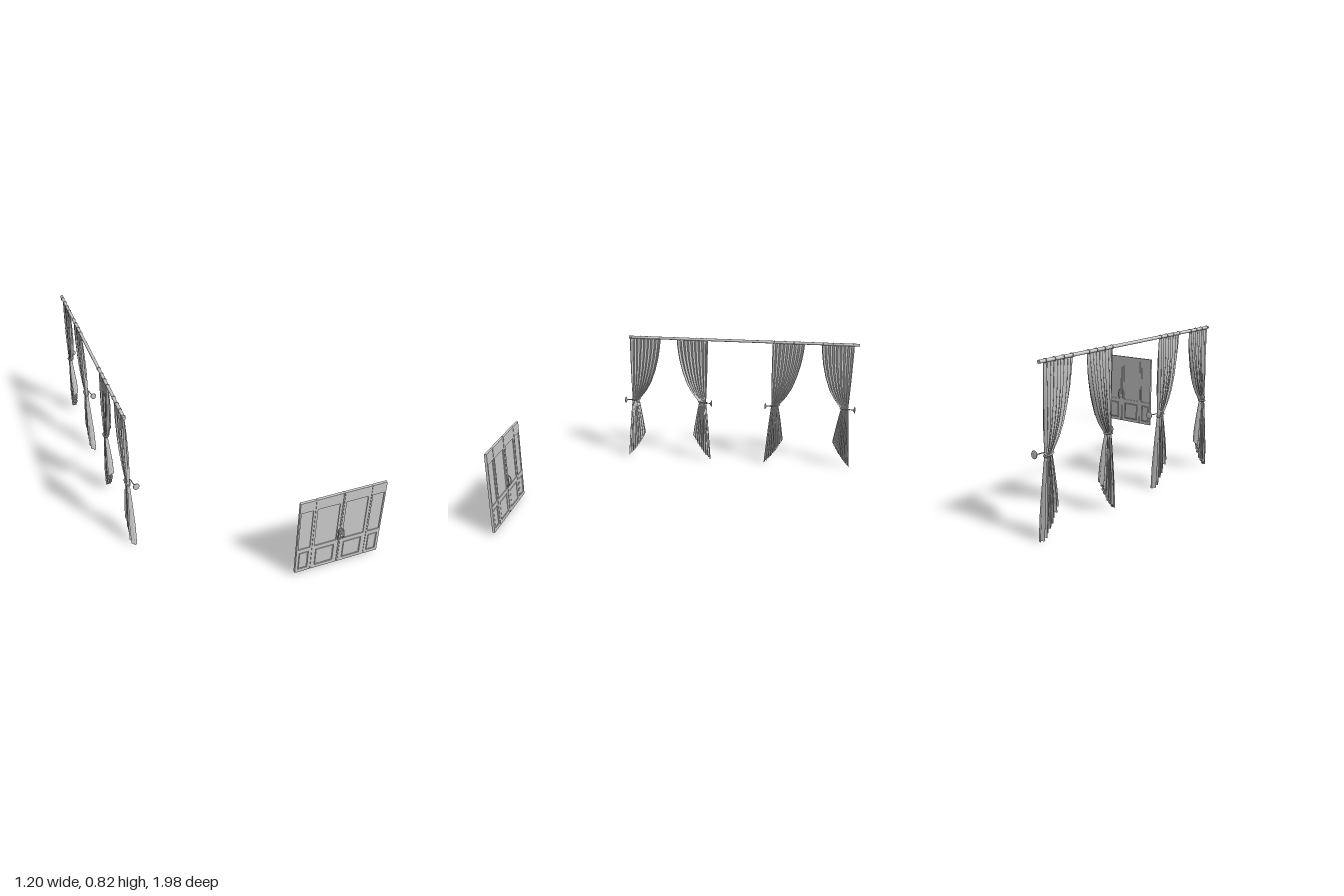
import * as THREE from 'three';

const grey = new THREE.MeshStandardMaterial({ color: 0xcccccc });
const cloth = new THREE.MeshStandardMaterial({ color: 0xcccccc, side: THREE.DoubleSide });
const ROD_X = -0.585, ROD_Y = 0.812, TIE_Y = 0.395;
const lerp = THREE.MathUtils.lerp;

function add(parent, name, geometry, x = 0, y = 0, z = 0, material = grey) {
  const mesh = new THREE.Mesh(geometry, material);
  mesh.name = name;
  mesh.position.set(x, y, z);
  parent.add(mesh);
  return mesh;
}

// Smooth interpolation through [position, value] pairs
function keyed(keys, t) {
  let i = 0;
  while (i < keys.length - 2 && t > keys[i + 1][0]) i++;
  const [a, va] = keys[i], [b, vb] = keys[i + 1];
  return lerp(va, vb, THREE.MathUtils.clamp((t - a) / (b - a), 0, 1));
}

function tube(points, radius, segments = 20) {
  const curve = new THREE.CatmullRomCurve3(points.map(p => new THREE.Vector3(...p)));
  return new THREE.TubeGeometry(curve, segments, radius, 8);
}

// Pleated sheet gathered at the tie; u runs from outer to inner edge, v from top to hem
const innerEdge = [[0, 0.198], [0.12, 0.194], [0.3, 0.183], [0.5, 0.163], [0.7, 0.134], [0.85, 0.1], [0.95, 0.068], [1, 0.052]];
const foldDepth = [[0, 0.003], [0.25, 0.008], [0.6, 0.011], [0.85, 0.009], [1, 0.006], [1.25, 0.01], [1.7, 0.016], [2, 0.015]];
function drape(dir) {
  const cols = 108, rows = 48;
  const geometry = new THREE.PlaneGeometry(1, 1, cols, rows);
  const pos = geometry.attributes.position;
  for (let i = 0; i < pos.count; i++) {
    const u = pos.getX(i) + 0.5, v = (0.5 - pos.getY(i)) * 2;
    const phase = u * Math.PI * 2 * 8.5;
    const tieS = 0.008 + 0.044 * u;
    let s, y;
    if (v <= 1) {
      s = lerp(0.008 * v * v, keyed(innerEdge, v), u);
      y = lerp(ROD_Y - 0.006, TIE_Y, v);
    } else {
      const t = v - 1;
      s = lerp(tieS, -0.026 + 0.117 * u, Math.pow(t, 0.85));
      y = lerp(TIE_Y, 0.165 * Math.pow(u, 1.3) + 0.006 * Math.sin(phase) * u, t);
    }
    const depth = keyed(foldDepth, v);
    const x = depth * (Math.sin(phase) + 0.25 * Math.sin(phase * 0.37 + 1)) * 0.9;
    const sway = 0.25 * depth * Math.sin(phase * 2) * Math.sin(Math.PI * u);
    pos.setXYZ(i, x, Math.max(y, 0), -dir * (s + sway));
  }
  geometry.computeVertexNormals();
  return geometry;
}

// One curtain with its rings, tie band and wall holdback
function curtain(z0, dir) {
  const group = new THREE.Group();
  group.name = 'curtain';
  group.position.set(ROD_X, 0, z0);
  add(group, 'drape', drape(dir), 0, 0, 0, cloth);

  for (let i = 0; i < 4; i++)
    add(group, 'curtainRing', new THREE.TorusGeometry(0.0095, 0.0018, 8, 20), 0, ROD_Y, -dir * (0.01 + i * 0.06));

  // Band round the gathered cloth
  const band = [];
  for (let i = 0; i < 16; i++) {
    const a = i / 16 * Math.PI * 2;
    band.push(new THREE.Vector3(0.012 * Math.cos(a), TIE_Y + 0.004 * Math.sin(a), -dir * (0.03 + 0.028 * Math.sin(a))));
  }
  add(group, 'tieBand', new THREE.TubeGeometry(new THREE.CatmullRomCurve3(band, true), 40, 0.004, 8, true), 0, 0, 0);

  // Curved arm ending in a round plate
  add(group, 'holdbackArm', tube([
    [0.008, TIE_Y, -dir * 0.055], [0.019, TIE_Y + 0.004, -dir * 0.035],
    [0.022, TIE_Y + 0.005, -dir * 0.005], [0.031, TIE_Y + 0.005, dir * 0.024]], 0.0028), 0, 0, 0);
  const profile = [[0, -0.006], [0.008, -0.005], [0.011, -0.001], [0.018, 0], [0.02, 0.003], [0.018, 0.006], [0, 0.006]];
  const plate = add(group, 'holdbackPlate',
    new THREE.LatheGeometry(profile.map(p => new THREE.Vector2(...p)), 24), 0.031, 0.4, dir * 0.027);
  plate.rotation.x = dir * Math.PI / 2;
  plate.scale.x = 0.85;
  return group;
}

function rectPath(x0, x1, y0, y1, Type = THREE.Path) {
  return new Type([[x0, y0], [x1, y0], [x1, y1], [x0, y1]].map(p => new THREE.Vector2(...p)));
}

// Door leaf: frame with a window and a lower raised panel, alike on both faces
function leaf(name, x0, x1, margin) {
  const group = new THREE.Group();
  group.name = name;
  const bottom = 0.02, top = 0.48, width = x1 - x0, mid = (x0 + x1) / 2;
  const frame = rectPath(x0, x1, bottom, top, THREE.Shape);
  frame.holes.push(rectPath(x0 + margin, x1 - margin, 0.175, 0.417));
  frame.holes.push(rectPath(x0 + margin * 1.8, x1 - margin * 1.8, 0.04, 0.15));
  add(group, 'leafFrame', new THREE.ExtrudeGeometry(frame, { depth: 0.014, bevelEnabled: false }), 0, 0, -0.007);
  add(group, 'pane', new THREE.BoxGeometry(width - 2 * margin + 0.002, 0.244, 0.005), mid, 0.296, 0);

  const inset = margin * 1.8 + 0.005;
  const field = rectPath(x0 + inset, x1 - inset, 0.045, 0.145, THREE.Shape);
  add(group, 'lowerPanel', new THREE.ExtrudeGeometry(field, {
    depth: 0.005, bevelEnabled: true, bevelSize: 0.005, bevelThickness: 0.0035, bevelSegments: 1 }), 0, 0, -0.0025);
  return group;
}

// Bow handle with a back plate on one face of the door
function handle(x, side, face) {
  const group = new THREE.Group();
  group.name = 'handle';
  add(group, 'handlePlate', new THREE.BoxGeometry(0.008, 0.058, 0.003), x, 0.208, face * 0.008);
  add(group, 'handleBow', tube([
    [x, 0.187, face * 0.008], [x + side * 0.002, 0.19, face * 0.019], [x + side * 0.004, 0.212, face * 0.022],
    [x + side * 0.003, 0.234, face * 0.018], [x, 0.245, face * 0.008]], 0.0028), 0, 0, 0);
  return group;
}

export function createModel() {
  const model = new THREE.Group();

  // Curtain rod with four curtains in two mirrored pairs
  const rod = add(model, 'curtainRod', new THREE.CylinderGeometry(0.0085, 0.0085, 1.437, 20), ROD_X, ROD_Y, -0.262);
  rod.rotation.x = Math.PI / 2;
  for (const z of [0, -0.903]) model.add(curtain(z + 0.452, 1), curtain(z - 0.047, -1));

  // Double door with side panels
  const door = new THREE.Group();
  door.name = 'doubleDoor';
  door.position.z = 0.975;
  door.add(leaf('sidePanel', 0.12, 0.202, 0.008), leaf('doorLeaf', 0.206, 0.353, 0.012));
  door.add(leaf('doorLeaf', 0.364, 0.511, 0.012), leaf('sidePanel', 0.516, 0.598, 0.008));
  for (const [x, w] of [[0.204, 0.006], [0.3585, 0.013], [0.5135, 0.007]])
    add(door, 'joint', new THREE.BoxGeometry(w, 0.459, 0.009), x, 0.25, 0);
  for (const face of [-1, 1]) {
    add(door, 'meetingStrip', new THREE.BoxGeometry(0.005, 0.459, 0.004), 0.3585, 0.25, face * 0.006);
    door.add(handle(0.346, -1, face), handle(0.371, 1, face));
  }
  model.add(door);
  return model;
}
